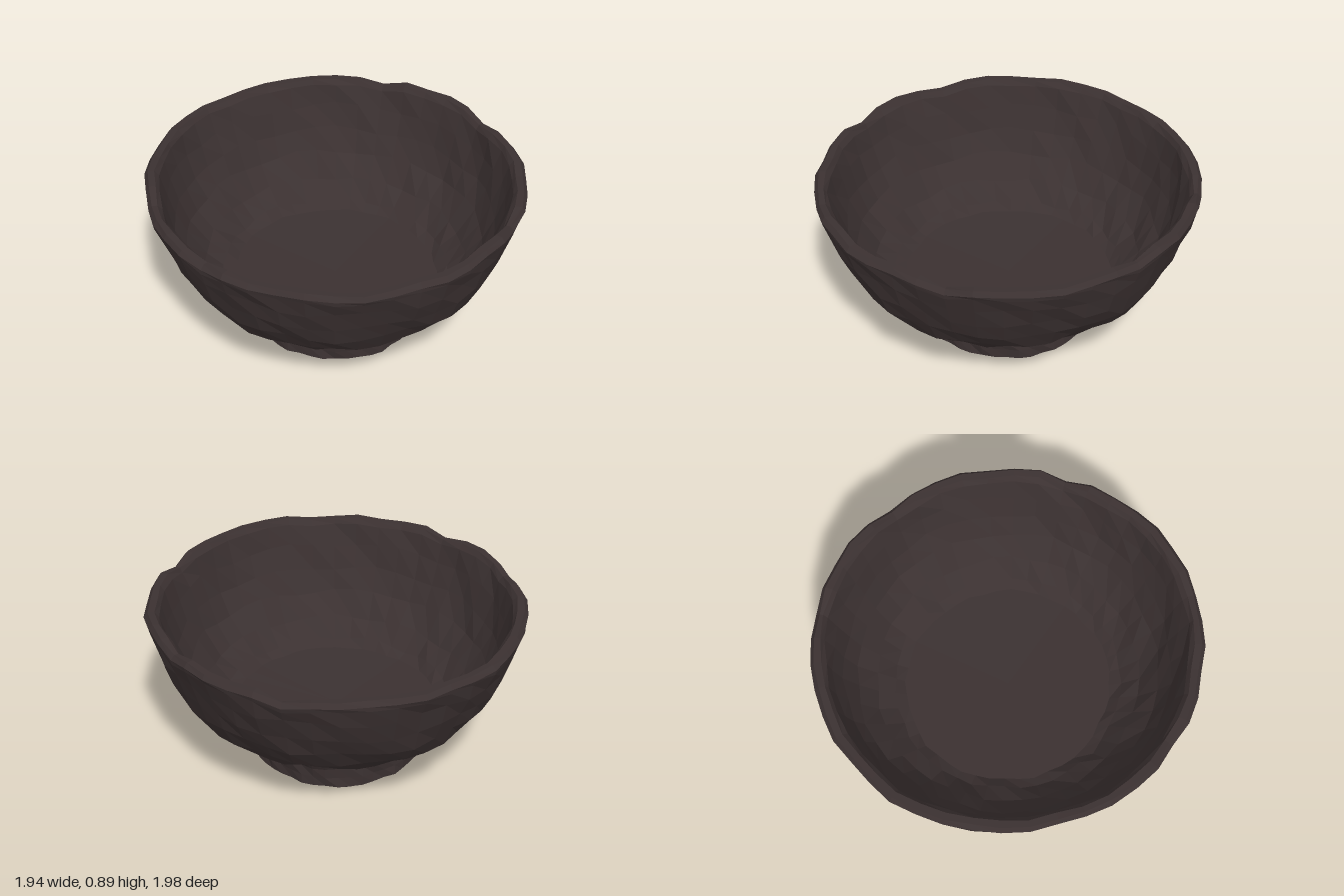
import * as THREE from 'three';

const SEGMENTS = 44;

// Worn notches along the rim: angle from the front, half width, depth
const CHIPS = [
  [-0.2, 0.2, 0.02], [0.85, 0.14, 0.025], [1.85, 0.13, 0.022],
  [2.6, 0.13, 0.045], [-1.52, 0.13, 0.03], [-1.0, 0.12, 0.018], [-2.75, 0.12, 0.014],
];

// Hand-worn unevenness; depends only on position so neighbouring parts still meet
function wear(x, y, z) {
  const a = Math.atan2(x, z);
  const r = Math.hypot(x, z);
  if (r < 0.3) return [x, y, z];
  const wave = Math.sin(a * 5 + y * 9) + Math.sin(a * 11 - y * 17) + Math.sin(a * 17 + y * 31 + r * 20);
  let radius = r + wave * 0.0045;
  let height = y;
  if (y > 0.2 && y < 0.8 && r > 0.56) height += 0.014 * Math.sin(a * 9 + r * 23);
  if (y > 0.8) {
    height += 0.005 * Math.sin(a * 3 + 1) + 0.004 * Math.sin(a * 13);
    for (const [angle, width, depth] of CHIPS) {
      const d = Math.abs(Math.atan2(Math.sin(a - angle), Math.cos(a - angle)));
      const k = Math.max(0, 1 - d / width);
      height -= depth * k;
      if (r > 0.94) radius -= depth * 0.5 * k;
    }
  }
  return [Math.sin(a) * radius * 0.992, height, Math.cos(a) * radius * 1.012];
}

function turned(name, profile, material) {
  const points = profile.map(([r, y]) => new THREE.Vector2(r, y));
  const geometry = new THREE.LatheGeometry(points, SEGMENTS);
  const p = geometry.attributes.position;
  for (let i = 0; i < p.count; i++) {
    p.setXYZ(i, ...wear(p.getX(i), p.getY(i), p.getZ(i)));
  }
  // Separate the triangles so every facet keeps its own flat normal
  const faceted = geometry.toNonIndexed();
  faceted.computeVertexNormals();
  const mesh = new THREE.Mesh(faceted, material);
  mesh.name = name;
  return mesh;
}

export function createModel() {
  const clay = new THREE.MeshStandardMaterial({ color: 0x3b3131 });
  clay.name = 'dark clay';

  const bowl = new THREE.Group();
  bowl.name = 'bowl';
  bowl.add(
    // Base disc and short upright foot ring
    turned('foot', [[0, 0], [0.3, 0.006], [0.435, 0.012], [0.453, 0.025], [0.455, 0.08], [0.462, 0.14], [0.485, 0.18]], clay),
    // Rounded outside
    turned('outerWall', [[0.485, 0.18], [0.53, 0.205], [0.65, 0.285], [0.785, 0.4], [0.855, 0.51],
      [0.9, 0.62], [0.94, 0.74], [0.972, 0.835]], clay),
    // Narrow bevelled lip
    turned('rim', [[0.972, 0.835], [0.979, 0.86], [0.96, 0.884], [0.925, 0.882], [0.905, 0.855]], clay),
    // Inside of the bowl
    turned('innerWall', [[0.905, 0.855], [0.875, 0.74], [0.835, 0.61], [0.78, 0.49], [0.69, 0.37], [0.6, 0.285], [0.545, 0.25]], clay),
    // Flat inner floor
    turned('innerFloor', [[0.545, 0.25], [0, 0.245]], clay),
  );
  return bowl;
}
